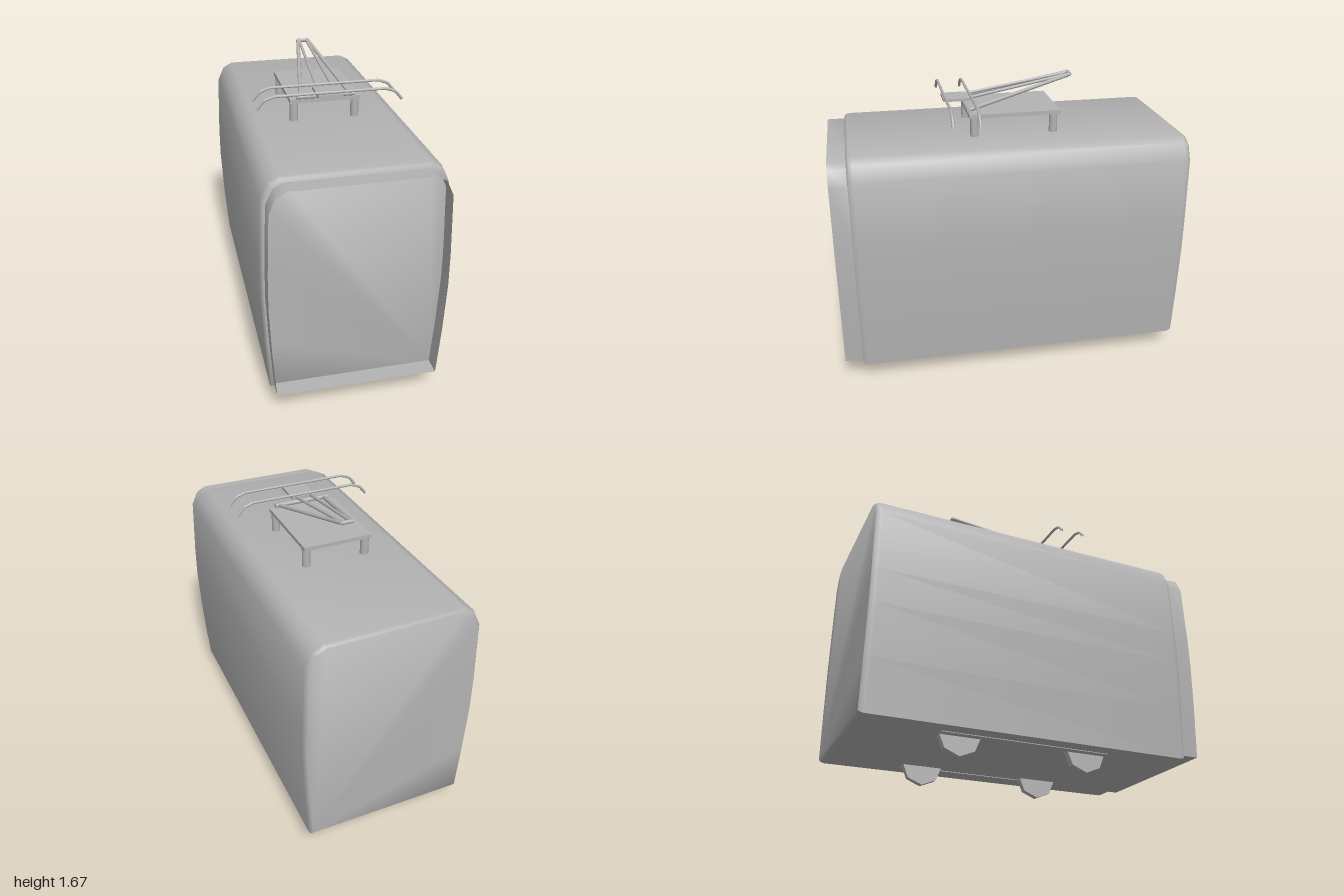
import * as THREE from 'three';
import { toCreasedNormals } from 'three/addons/utils/BufferGeometryUtils.js';

const grey = new THREE.MeshStandardMaterial({ color: 0xb3b3b3 });
grey.name = 'plain grey';
const greyOpen = new THREE.MeshStandardMaterial({ color: 0xb3b3b3, side: THREE.DoubleSide });
greyOpen.name = 'plain grey open shell';

// Right half of the carriage cross-section, from floor to roof
const half = [[0.465, 0.11], [0.485, 0.4], [0.498, 0.7], [0.496, 0.9], [0.482, 1.26], [0.442, 1.345], [0.385, 1.375]];
const section = [...half, ...half.map(([x, y]) => [-x, y]).reverse()];
const midY = 0.7425;

// Loft the section through rings of [z, scale], optionally closing both ends
function loft(rings, capped) {
  const n = section.length, pos = [], index = [];
  for (const [z, s] of rings) for (const [x, y] of section) pos.push(x * s, midY + (y - midY) * s, z);
  for (let i = 0; i < rings.length - 1; i++) {
    for (let j = 0; j < n; j++) {
      const k = (j + 1) % n, a = i * n, b = a + n;
      index.push(a + j, a + k, b + k, a + j, b + k, b + j);
    }
  }
  if (capped) {
    const last = (rings.length - 1) * n;
    for (let j = 1; j < n - 1; j++) index.push(0, j + 1, j, last, last + j, last + j + 1);
  }
  const g = new THREE.BufferGeometry();
  g.setAttribute('position', new THREE.Float32BufferAttribute(pos, 3));
  g.setIndex(index);
  return toCreasedNormals(g, 0.75);
}

function add(parent, name, geometry, x = 0, y = 0, z = 0, material = grey) {
  const mesh = new THREE.Mesh(geometry, material);
  mesh.name = name;
  mesh.position.set(x, y, z);
  parent.add(mesh);
  return mesh;
}

// Straight round rod between two points
function rod(parent, name, from, to, radius) {
  const a = new THREE.Vector3(...from), b = new THREE.Vector3(...to);
  const mesh = add(parent, name, new THREE.CylinderGeometry(radius, radius, a.distanceTo(b), 8));
  mesh.position.copy(a).add(b).multiplyScalar(0.5);
  mesh.quaternion.setFromUnitVectors(new THREE.Vector3(0, 1, 0), b.sub(a).normalize());
  return mesh;
}

export function createModel() {
  const model = new THREE.Group();
  model.name = 'tramCarriage';

  // Closed body with softened ends, and the open gangway sleeve in front
  add(model, 'body', loft([[-1, 0.975], [-0.99, 0.992], [-0.97, 1], [0.87, 1], [0.89, 0.992], [0.9, 0.975]], true));
  add(model, 'gangway', loft([[0.89, 0.957], [1, 0.957]], false), 0, 0, 0, greyOpen);

  // Eight-sided wheels and the bogie side strips
  const wheel = toCreasedNormals(new THREE.CylinderGeometry(0.12, 0.12, 0.04, 8).rotateZ(Math.PI / 2), 0.4);
  for (const side of [-1, 1]) {
    for (const z of [0.325, -0.425]) add(model, 'wheel', wheel, side * 0.31, 0.12, z);
    add(model, 'bogieStrip', new THREE.BoxGeometry(0.045, 0.015, 0.98), side * 0.351, 0.1135, -0.05);
  }

  // Roof platform on four posts
  const pantograph = new THREE.Group();
  pantograph.name = 'pantograph';
  model.add(pantograph);
  add(pantograph, 'platform', new THREE.BoxGeometry(0.4, 0.022, 0.52), 0, 1.493, -0.05);
  for (const x of [-0.175, 0.175]) {
    for (const z of [0.18, -0.275]) add(pantograph, 'post', new THREE.CylinderGeometry(0.024, 0.024, 0.12, 12), x, 1.425, z);
  }

  // Folded arms running back from the hinge bar to the knee
  rod(pantograph, 'hingeBar', [-0.165, 1.517, 0.207], [0.165, 1.517, 0.207], 0.013);
  rod(pantograph, 'kneeBar', [-0.035, 1.662, -0.405], [0.035, 1.662, -0.405], 0.011);
  for (const side of [-1, 1]) {
    rod(pantograph, 'lowerArm', [side * 0.14, 1.517, 0.2], [side * 0.03, 1.662, -0.405], 0.011);
    rod(pantograph, 'upperArm', [side * 0.045, 1.558, 0.2], [side * 0.022, 1.662, -0.405], 0.009);
  }

  // Collector head: two bars with drooping ends joined by a plate
  add(pantograph, 'headPlate', new THREE.BoxGeometry(0.14, 0.016, 0.165), 0, 1.556, 0.255);
  const bend = [[0.31, 1.574], [0.365, 1.555], [0.405, 1.507]];
  const points = [...bend.map(([x, y]) => [-x, y]).reverse(), ...bend];
  const path = new THREE.CurvePath();
  for (let i = 0; i < points.length - 1; i++) {
    path.add(new THREE.LineCurve3(new THREE.Vector3(...points[i], 0), new THREE.Vector3(...points[i + 1], 0)));
  }
  const bar = new THREE.TubeGeometry(path, 48, 0.008, 8);
  for (const z of [0.182, 0.328]) add(pantograph, 'collectorBar', bar, 0, 0, z, greyOpen);

  return model;
}
